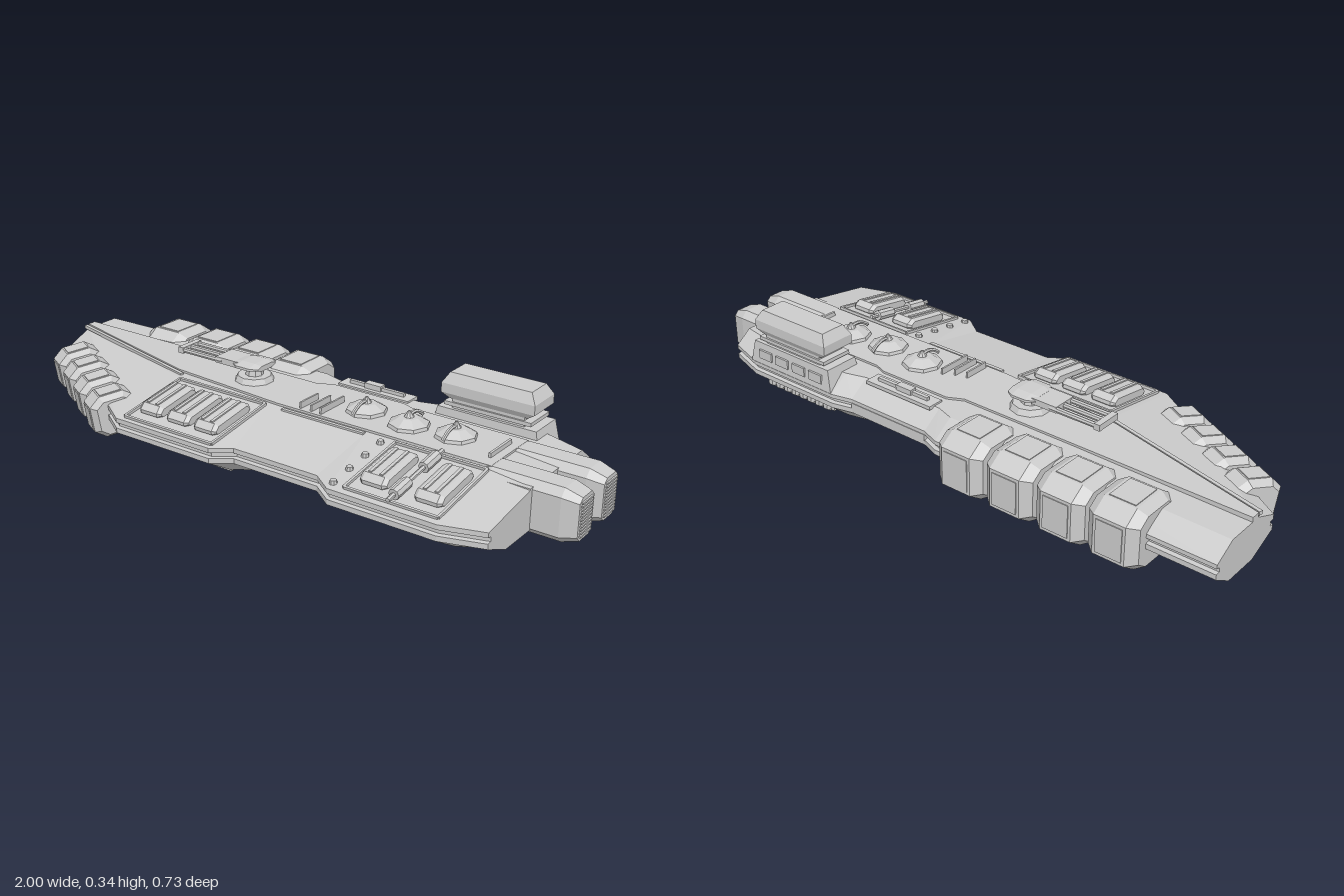
import * as THREE from 'three';

const grey = new THREE.MeshStandardMaterial({ color: 0xcccccc, flatShading: true });

function add(parent, name, geo, x = 0, y = 0, z = 0) {
  const m = new THREE.Mesh(geo, grey);
  m.name = name;
  m.position.set(x, y, z);
  parent.add(m);
  return m;
}
const box = (p, name, w, h, d, x, y, z) => add(p, name, new THREE.BoxGeometry(w, h, d), x, y, z);
const cyl = (rt, rb, h, n = 8) => new THREE.CylinderGeometry(rt, rb, h, n);

// Skin over sections along x; each ring of [z, y] runs front, up, back, down.
function loft(sections) {
  const pos = [];
  const tri = (...pts) => pts.forEach(p => pos.push(...p));
  const rings = sections.map(([x, ring]) => ring.map(([z, y]) => [x, y, z]));
  const n = rings[0].length;
  const centre = r => [0, 1, 2].map(k => r.reduce((s, p) => s + p[k], 0) / n);
  const last = rings.length - 1, c0 = centre(rings[0]), c1 = centre(rings[last]);
  for (let j = 0; j < n; j++) {
    const k = (j + 1) % n;
    for (let i = 0; i < last; i++) {
      const a = rings[i][j], b = rings[i][k], c = rings[i + 1][j], d = rings[i + 1][k];
      tri(a, c, b);
      tri(b, c, d);
    }
    tri(c0, rings[0][j], rings[0][k]);
    tri(c1, rings[last][k], rings[last][j]);
  }
  const g = new THREE.BufferGeometry();
  g.setAttribute('position', new THREE.Float32BufferAttribute(pos, 3));
  g.computeVertexNormals();
  return g;
}

// Eight-sided ring and a block with every edge bevelled
function octRing(h, d, ch, cd) {
  const y = h / 2, z = d / 2;
  return [[z, ch - y], [z, y - ch], [z - cd, y], [cd - z, y], [-z, y - ch], [-z, ch - y], [cd - z, -y], [z - cd, -y]];
}
function bevelBlock(w, h, d, cx, ch, cd) {
  const big = octRing(h, d, ch, cd);
  const small = octRing(h - ch, d - cd, ch * 0.7, cd * 0.7);
  return loft([[-w / 2, small], [cx - w / 2, big], [w / 2 - cx, big], [w / 2, small]]);
}

// Main hull section, with a groove along both edges
function hullRing(zf, zb, zr, zs, top, bottom) {
  const f = zf - 0.014, b = zb + 0.014;
  return [[zf, 0.108], [zf, 0.124], [f, 0.126], [f, 0.14], [zf, 0.142], [zf, 0.157],
    [zr, top], [zs, top], [zb, 0.155], [zb, 0.142], [b, 0.14], [b, 0.126], [zb, 0.124],
    [zb, 0.108], [zb + 0.07, bottom], [zf - 0.1, bottom]];
}

function turret(parent, x, y, z, flip, turn) {
  const g = new THREE.Group();
  g.name = 'turret';
  add(g, 'turretBase', cyl(0.062, 0.066, 0.014), 0, 0.007, 0);
  add(g, 'turretDome', cyl(0.03, 0.06, 0.018), 0, 0.023, 0);
  add(g, 'turretCap', cyl(0.004, 0.016, 0.019), 0, 0.0405, 0);
  const curve = new THREE.QuadraticBezierCurve3(
    new THREE.Vector3(0, 0.035, 0), new THREE.Vector3(0, 0.05, 0.035), new THREE.Vector3(0, 0.015, 0.075));
  add(g, 'turretBarrel', new THREE.TubeGeometry(curve, 6, 0.006, 6));
  g.position.set(x, y, z);
  g.rotation.set(flip ? Math.PI : 0, turn, 0);
  parent.add(g);
}

export function createModel() {
  const ship = new THREE.Group();
  ship.name = 'starship';

  // Hull: x, front edge, back edge, front ridge, back ridge, top, bottom
  add(ship, 'hull', loft([
    [-1, -0.02, -0.31, -0.11, -0.24, 0.195, 0.065],
    [-0.42, 0.356, -0.31, 0.07, -0.24, 0.203, 0.05],
    [-0.05, 0.356, -0.31, 0.07, -0.24, 0.203, 0.05],
    [0.01, 0.312, -0.288, 0.07, -0.22, 0.203, 0.05],
    [0.31, 0.312, -0.288, 0.07, -0.22, 0.203, 0.05],
    [0.38, 0.362, -0.305, 0.07, -0.24, 0.203, 0.05],
    [0.73, 0.362, -0.305, 0.07, -0.24, 0.203, 0.05],
    [0.86, 0.32, -0.265, 0.07, -0.21, 0.195, 0.065],
  ].map(([x, ...r]) => [x, hullRing(...r)])));

  // Raised centre deck
  const deck = new THREE.Shape([[-1, 0.14], [-1, 0.11], [-0.45, -0.03], [-0.02, -0.065], [0.72, -0.065],
    [0.72, 0.15], [0.33, 0.15], [0.29, 0.165], [0.03, 0.165], [-0.02, 0.14]].map(p => new THREE.Vector2(...p)));
  add(ship, 'centreDeck', new THREE.ExtrudeGeometry(deck, { depth: 0.02, bevelEnabled: false }), 0, 0.19, 0)
    .rotation.x = -Math.PI / 2;
  const rail = box(ship, 'noseRail', 0.6, 0.012, 0.012, -0.71, 0.203, -0.025);
  rail.rotation.y = -0.25;

  // Large pods on the back edge
  for (const x of [-0.705, -0.53, -0.353, -0.176]) {
    const pod = new THREE.Group();
    pod.name = 'backPod';
    add(pod, 'podShell', bevelBlock(0.163, 0.195, 0.215, 0.03, 0.035, 0.05));
    box(pod, 'podTopPanel', 0.085, 0.006, 0.1, 0, 0.097, 0);
    box(pod, 'podBackPanel', 0.085, 0.105, 0.006, 0, 0, -0.107);
    pod.position.set(x, 0.127, -0.257);
    ship.add(pod);
  }

  // Smaller pods along the slanted front edge
  for (let i = 0; i < 4; i++) {
    const pod = new THREE.Group();
    pod.name = 'frontPod';
    add(pod, 'podShell', bevelBlock(0.108, 0.14, 0.15, 0.02, 0.028, 0.035));
    box(pod, 'podTopPanel', 0.058, 0.006, 0.07, 0, 0.07, 0);
    box(pod, 'podFrontPanel', 0.058, 0.075, 0.006, 0, 0, 0.075);
    pod.position.set(-0.88 + i * 0.111, 0.128 - i * 0.004, 0.058 + i * 0.063);
    pod.rotation.set(0.15, -0.5, 0, 'YXZ');
    ship.add(pod);
  }

  // Twin engines with slatted ends
  for (const z of [0.035, -0.113]) {
    const big = octRing(0.162, 0.108, 0.022, 0.022), end = octRing(0.13, 0.085, 0.015, 0.015);
    add(ship, 'engine', loft([[-0.17, end], [-0.12, big], [0.1, big], [0.15, end]]), 0.845, 0.13, z);
    for (let i = 0; i < 11; i++) box(ship, 'engineSlat', 0.008, 0.005, 0.066, 0.996, 0.08 + i * 0.01, z);
    box(ship, 'engineRoot', 0.14, 0.13, 0.13, 0.79, 0.13, z);
  }

  // Sloped front deck: framed bays with hatches, mirrored underneath as vents
  for (const [cx, hatches] of [[-0.225, [-0.11, 0, 0.108]], [0.57, [-0.085, 0.09]]]) {
    const bay = new THREE.Group();
    bay.name = 'hatchBay';
    const w = cx < 0 ? 0.345 : 0.3;
    for (const s of [-1, 1]) {
      box(bay, 'bayFrame', w, 0.01, 0.008, 0, 0.002, s * 0.13);
      box(bay, 'bayFrame', 0.008, 0.01, 0.26, s * w / 2, 0.002, 0);
    }
    for (const x of hatches) {
      add(bay, 'hatch', bevelBlock(0.088, 0.044, 0.18, 0.012, 0.016, 0.02), x, 0.008, 0);
      for (let k = -1; k < 2; k += 2) box(bay, 'hatchRib', 0.01, 0.006, 0.135, x + k * 0.018, 0.031, 0);
    }
    if (cx > 0) {
      add(bay, 'conduit', cyl(0.007, 0.007, 0.28, 6), 0, 0.015, 0).rotation.x = Math.PI / 2;
      for (const z of [-0.075, 0.075]) add(bay, 'conduitTank', cyl(0.017, 0.017, 0.07), 0, 0.015, z).rotation.x = Math.PI / 2;
    }
    bay.position.set(cx, 0.182, 0.21);
    bay.rotation.x = 0.16;
    ship.add(bay);

    box(ship, 'bellyFrame', w, 0.012, 0.13, cx, 0.048, 0.185);
    for (let i = 0; i < 9; i++) box(ship, 'bellySlat', w - 0.05, 0.01, 0.006, cx, 0.04, 0.135 + i * 0.0125);
  }

  // Gun turrets above and below
  [[0.23, -0.05], [0.39, -0.035], [0.54, -0.05]].forEach(([x, z], i) => {
    turret(ship, x, 0.206, z, false, i === 1 ? Math.PI : 0);
    turret(ship, x, 0.05, z, true, i === 1 ? Math.PI : 0);
  });

  // Small belly domes
  for (const [x, z] of [[-0.1, -0.05], [-0.24, -0.12], [-0.22, -0.04], [-0.21, 0.02], [-0.34, -0.07]]) {
    add(ship, 'bellyDome', cyl(0.03, 0.018, 0.016), x, 0.043, z);
    add(ship, 'bellySpike', cyl(0.012, 0.004, 0.02, 6), x, 0.026, z);
  }

  // Long gun on a raised mount
  const gun = new THREE.Group();
  gun.name = 'mainGun';
  add(gun, 'gunRing', cyl(0.055, 0.065, 0.02, 10), 0, 0.218, 0);
  add(gun, 'gunStalk', cyl(0.022, 0.03, 0.035), 0, 0.243, 0);
  add(gun, 'gunHead', bevelBlock(0.1, 0.026, 0.12, 0.025, 0.009, 0.03), 0, 0.263, 0);
  box(gun, 'gunBody', 0.09, 0.02, 0.085, -0.08, 0.261, 0);
  for (const z of [-0.036, 0, 0.036]) {
    add(gun, 'gunBarrel', cyl(0.009, 0.009, 0.18), -0.19, 0.26, z).rotation.z = Math.PI / 2;
  }
  box(gun, 'gunMuzzle', 0.02, 0.02, 0.09, -0.27, 0.26, 0);
  gun.position.set(-0.2, 0, -0.05);
  ship.add(gun);

  // Bridge tower: base, neck and wide head
  const bx = 0.565, bz = -0.237;
  const slab = (name, w0, w1, d0, d1, y0, y1) => {
    const g = new THREE.BoxGeometry(1, 1, 1), p = g.attributes.position;
    for (let i = 0; i < p.count; i++) {
      const up = p.getY(i) > 0;
      p.setXYZ(i, p.getX(i) * (up ? w1 : w0), up ? y1 : y0, p.getZ(i) * (up ? d1 : d0));
    }
    add(ship, name, g.toNonIndexed(), bx, 0, bz);
  };
  slab('bridgeBase', 0.36, 0.33, 0.135, 0.12, 0.155, 0.228);
  slab('bridgeNeck', 0.24, 0.24, 0.1, 0.1, 0.228, 0.262);
  slab('bridgeCollar', 0.29, 0.29, 0.112, 0.112, 0.236, 0.248);
  slab('bridgeHeadUnderside', 0.26, 0.31, 0.1, 0.12, 0.257, 0.275);
  slab('bridgeHead', 0.31, 0.31, 0.12, 0.12, 0.275, 0.305);
  slab('bridgeHeadRoof', 0.31, 0.27, 0.12, 0.088, 0.305, 0.338);
  for (let i = 0; i < 4; i++) box(ship, 'bridgeWindow', 0.055, 0.03, 0.008, 0.452 + i * 0.075, 0.19, -0.302);

  // Ribbed machinery under the bridge
  box(ship, 'machineryCore', 0.3, 0.04, 0.08, bx, 0.085, -0.225);
  for (let i = 0; i < 8; i++) {
    add(ship, 'machineryRib', bevelBlock(0.026, 0.048, 0.1, 0.005, 0.01, 0.015), 0.44 + i * 0.036, 0.085, -0.23);
  }

  // Back tray with a launcher
  box(ship, 'launcherTray', 0.26, 0.012, 0.055, 0.16, 0.203, -0.213);
  box(ship, 'launcherRail', 0.2, 0.012, 0.012, 0.16, 0.214, -0.213);
  box(ship, 'launcherBody', 0.06, 0.018, 0.026, 0.15, 0.217, -0.213);

  // Deck fins, cross bar and bolts
  [[0.06, 0.09], [0.1, 0.1], [0.135, 0.12]].forEach(([x, d]) => box(ship, 'deckFin', 0.006, 0.024, d, x, 0.218, 0.055 - d / 2));
  box(ship, 'deckBar', 0.008, 0.016, 0.12, 0.69, 0.216, -0.04);
  for (let i = 0; i < 4; i++) {
    const z = 0.1 + i * 0.077;
    add(ship, 'deckBolt', cyl(0.01, 0.013, 0.016), 0.38, 0.205 - (z - 0.07) * 0.157, z);
  }
  // Front and back waist trim
  box(ship, 'frontWaistTrim', 0.3, 0.012, 0.012, 0.16, 0.2, 0.08);
  box(ship, 'backWaistTrim', 0.3, 0.02, 0.012, 0.16, 0.133, -0.284);
  return ship;
}
